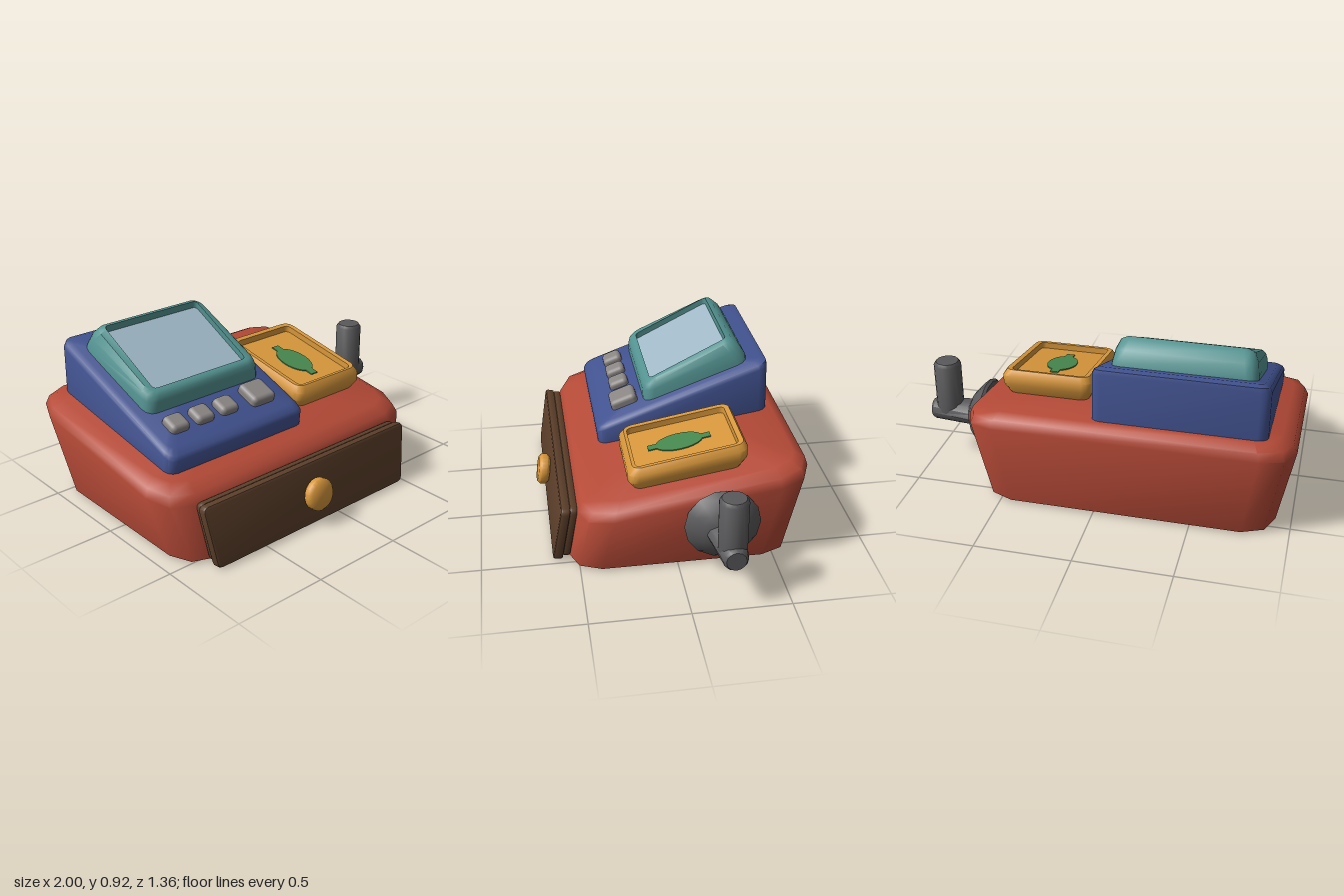
import * as THREE from 'three';
import { toCreasedNormals } from 'three/addons/utils/BufferGeometryUtils.js';
import { RoundedBoxGeometry } from 'three/addons/geometries/RoundedBoxGeometry.js';

const paint = (name, color, side = THREE.FrontSide) => {
  const m = new THREE.MeshStandardMaterial({ color, side });
  m.name = name;
  return m;
};

// Rounded rectangle seen from above; its height follows the slope y = a + b * z
function ring([x0, x1, z0, z1, r, a, b], seg) {
  const pts = [];
  const corners = [[x1 - r, z1 - r], [x0 + r, z1 - r], [x0 + r, z0 + r], [x1 - r, z0 + r]];
  corners.forEach(([cx, cz], k) => {
    for (let i = 0; i <= seg; i++) {
      const t = (k + i / seg) * Math.PI / 2;
      const z = cz + r * Math.sin(t);
      pts.push([cx + r * Math.cos(t), a + b * z, z]);
    }
  });
  return pts;
}

// Skin between successive rings, optionally closed by a flat lid on the last ring
function loft(rows, { seg = 3, lid = true, crease = 0.75 } = {}) {
  const rings = rows.map((row) => ring(row, seg));
  const n = rings[0].length;
  const pos = rings.flat(2);
  const index = [];
  for (let k = 0; k < rings.length - 1; k++) {
    for (let i = 0; i < n; i++) {
      const j = (i + 1) % n;
      const a = k * n + i, b = k * n + j, c = a + n, d = b + n;
      index.push(a, c, b, b, c, d);
    }
  }
  if (lid) {
    const [x0, x1, z0, z1, , a, b] = rows[rows.length - 1];
    const z = (z0 + z1) / 2, base = (rings.length - 1) * n, mid = rings.length * n;
    pos.push((x0 + x1) / 2, a + b * z, z);
    for (let i = 0; i < n; i++) index.push(mid, base + (i + 1) % n, base + i);
  }
  const g = new THREE.BufferGeometry();
  g.setAttribute('position', new THREE.Float32BufferAttribute(pos, 3));
  g.setIndex(index);
  return toCreasedNormals(g, crease);
}

// Bevelled plate, wider at the top, standing on its bottom back edge
function plate(xb0, xb1, xt0, xt1, height, thick) {
  const r = 0.03, bevel = 0.012;
  const s = new THREE.Shape();
  s.moveTo(xb0 + r, 0);
  s.lineTo(xb1 - r, 0);
  s.quadraticCurveTo(xb1, 0, xb1 + 0.004, r);
  s.lineTo(xt1, height - r);
  s.quadraticCurveTo(xt1, height, xt1 - r, height);
  s.lineTo(xt0 + r, height);
  s.quadraticCurveTo(xt0, height, xt0, height - r);
  s.lineTo(xb0 - 0.004, r);
  s.quadraticCurveTo(xb0, 0, xb0 + r, 0);
  const g = new THREE.ExtrudeGeometry(s, {
    depth: thick - 2 * bevel, bevelThickness: bevel, bevelSize: bevel,
    bevelOffset: -bevel, bevelSegments: 2, curveSegments: 3,
  });
  g.translate(0, 0, bevel);
  return toCreasedNormals(g, 0.6);
}

export function createModel() {
  const model = new THREE.Group();
  const red = paint('red shell', 0xb54a37, THREE.DoubleSide);
  const blue = paint('blue housing', 0x41528f);
  const teal = paint('teal frame', 0x539391);
  const glass = paint('pale screen', 0xa0b8c7);
  const orange = paint('orange', 0xd9983c);
  const green = paint('green', 0x48894f);
  const grey = paint('button grey', 0x8a8684);
  const iron = paint('dark grey', 0x59595b);
  const brown = paint('drawer brown', 0x5c3f2a);

  const add = (name, geometry, material, parent = model) => {
    const mesh = new THREE.Mesh(geometry, material);
    mesh.name = name;
    parent.add(mesh);
    return mesh;
  };

  // Hollow body with a sloping top, open underneath
  add('body', loft([
    [-0.92, 0.60, -0.60, 0.55, 0.16, 0.015, 0],
    [-1.00, 0.67, -0.68, 0.50, 0.17, 0.382, -0.144],
    [-0.98, 0.65, -0.665, 0.475, 0.16, 0.426, -0.149],
    [-0.92, 0.59, -0.61, 0.41, 0.12, 0.4555, -0.155],
  ], { seg: 2, crease: 0.9 }), red);

  // Wedge-shaped display housing
  add('displayHousing', loft([
    [-0.86, 0.01, -0.59, 0.335, 0.05, 0.44, -0.16],
    [-0.86, 0.01, -0.585, 0.345, 0.05, 0.595, -0.355],
    [-0.85, 0.00, -0.58, 0.335, 0.05, 0.615, -0.362],
    [-0.825, -0.025, -0.55, 0.30, 0.04, 0.63, -0.365],
  ]), blue);

  // Display frame with a sunken screen
  const screenFloor = [-0.72, -0.13, -0.375, 0.038, 0.02, 0.70, -0.5];
  add('displayFrame', loft([
    [-0.79, -0.06, -0.49, 0.075, 0.05, 0.60, -0.365],
    [-0.785, -0.065, -0.485, 0.08, 0.06, 0.683, -0.292],
    [-0.775, -0.075, -0.45, 0.075, 0.06, 0.717, -0.362],
    [-0.755, -0.095, -0.405, 0.06, 0.05, 0.737, -0.45],
    [-0.72, -0.13, -0.375, 0.038, 0.02, 0.735, -0.5],
    screenFloor,
  ], { lid: false }), teal);
  add('screen', loft([screenFloor]), glass);

  // Row of keys, the last one larger
  [[-0.70, 0.11], [-0.545, 0.11], [-0.39, 0.11], [-0.18, 0.15]].forEach(([x, size]) => {
    const key = add('key', new RoundedBoxGeometry(size, 0.07, size, 2, 0.025), grey);
    key.position.set(x, 0.568 + (size - 0.11) * 0.25, 0.18);
    key.rotation.x = 0.35;
  });

  // Sloping tray with a raised rim
  add('tray', loft([
    [0.10, 0.51, -0.33, 0.20, 0.04, 0.44, -0.17],
    [0.065, 0.545, -0.365, 0.24, 0.05, 0.505, -0.17],
    [0.065, 0.545, -0.365, 0.24, 0.05, 0.55, -0.18],
    [0.085, 0.525, -0.345, 0.217, 0.045, 0.583, -0.18],
    [0.11, 0.50, -0.32, 0.20, 0.025, 0.58, -0.18],
    [0.11, 0.50, -0.32, 0.20, 0.025, 0.546, -0.18],
  ]), orange);

  // Plain oval emblem with two tabs, lying on the tray floor
  const emblem = new THREE.Group();
  emblem.name = 'trayEmblem';
  emblem.position.set(0.305, 0.558, -0.05);
  emblem.rotation.x = Math.atan(0.18);
  model.add(emblem);
  const oval = add('emblemOval', new THREE.CylinderGeometry(1, 1, 0.006, 24), green, emblem);
  oval.scale.set(0.078, 1, 0.125);
  for (const s of [-1, 1]) {
    add('emblemTab', new THREE.BoxGeometry(0.045, 0.006, 0.06), green, emblem).position.z = s * 0.135;
  }

  // Drawer: leaning double front, box behind it, round knob
  const lean = -0.165;
  const drawer = new THREE.Group();
  drawer.name = 'drawer';
  model.add(drawer);
  const front = add('drawerFront', plate(-0.81, 0.48, -0.85, 0.52, 0.33, 0.05), brown, drawer);
  front.position.set(0, 0, 0.585);
  front.rotation.x = lean;
  const back = add('drawerBacking', plate(-0.80, 0.47, -0.835, 0.505, 0.312, 0.042), brown, drawer);
  back.position.set(0, 0.012, 0.545);
  back.rotation.x = lean;
  const box = add('drawerBox', new THREE.BoxGeometry(1.25, 0.27, 0.46), brown, drawer);
  box.position.set(-0.165, 0.15, 0.28);

  const knobProfile = [[0, -0.03], [0.07, -0.03], [0.085, -0.015], [0.085, 0.015], [0.07, 0.03], [0, 0.03]]
    .map(([r, y]) => new THREE.Vector2(r, y));
  const knob = add('drawerKnob', toCreasedNormals(new THREE.LatheGeometry(knobProfile, 20), 0.8), orange, drawer);
  knob.position.set(-0.165, 0.175, 0.64);
  knob.rotation.x = Math.PI / 2 + lean;

  // Crank: domed hub, flattened tapering arm, upright grip
  const crank = new THREE.Group();
  crank.name = 'crank';
  crank.position.set(0, 0.285, -0.21);
  model.add(crank);
  const hubProfile = [[0, 0.665], [0.185, 0.665], [0.195, 0.68], [0.165, 0.715], [0.12, 0.755], [0.07, 0.78], [0, 0.785]]
    .map(([r, y]) => new THREE.Vector2(r, y));
  const hub = new THREE.LatheGeometry(hubProfile, 14);
  hub.rotateZ(-Math.PI / 2);
  add('crankHub', toCreasedNormals(hub, 0.8), iron, crank);

  const armProfile = [[0, 0.70], [0.06, 0.70], [0.06, 0.985], [0.05, 1], [0, 1]]
    .map(([r, y]) => new THREE.Vector2(r, y));
  const arm = new THREE.LatheGeometry(armProfile, 12);
  arm.rotateZ(-Math.PI / 2);
  const p = arm.attributes.position;
  for (let i = 0; i < p.count; i++) {
    p.setZ(i, p.getZ(i) * (1 + 2.6 * (1 - p.getX(i))));
  }
  add('crankArm', toCreasedNormals(arm, 0.7), iron, crank);

  const gripProfile = [[0, 0], [0.073, 0], [0.073, 0.28], [0.06, 0.298], [0, 0.3]]
    .map(([r, y]) => new THREE.Vector2(r, y));
  add('crankGrip', toCreasedNormals(new THREE.LatheGeometry(gripProfile, 16), 0.8), iron, crank)
    .position.x = 0.905;

  return model;
}
